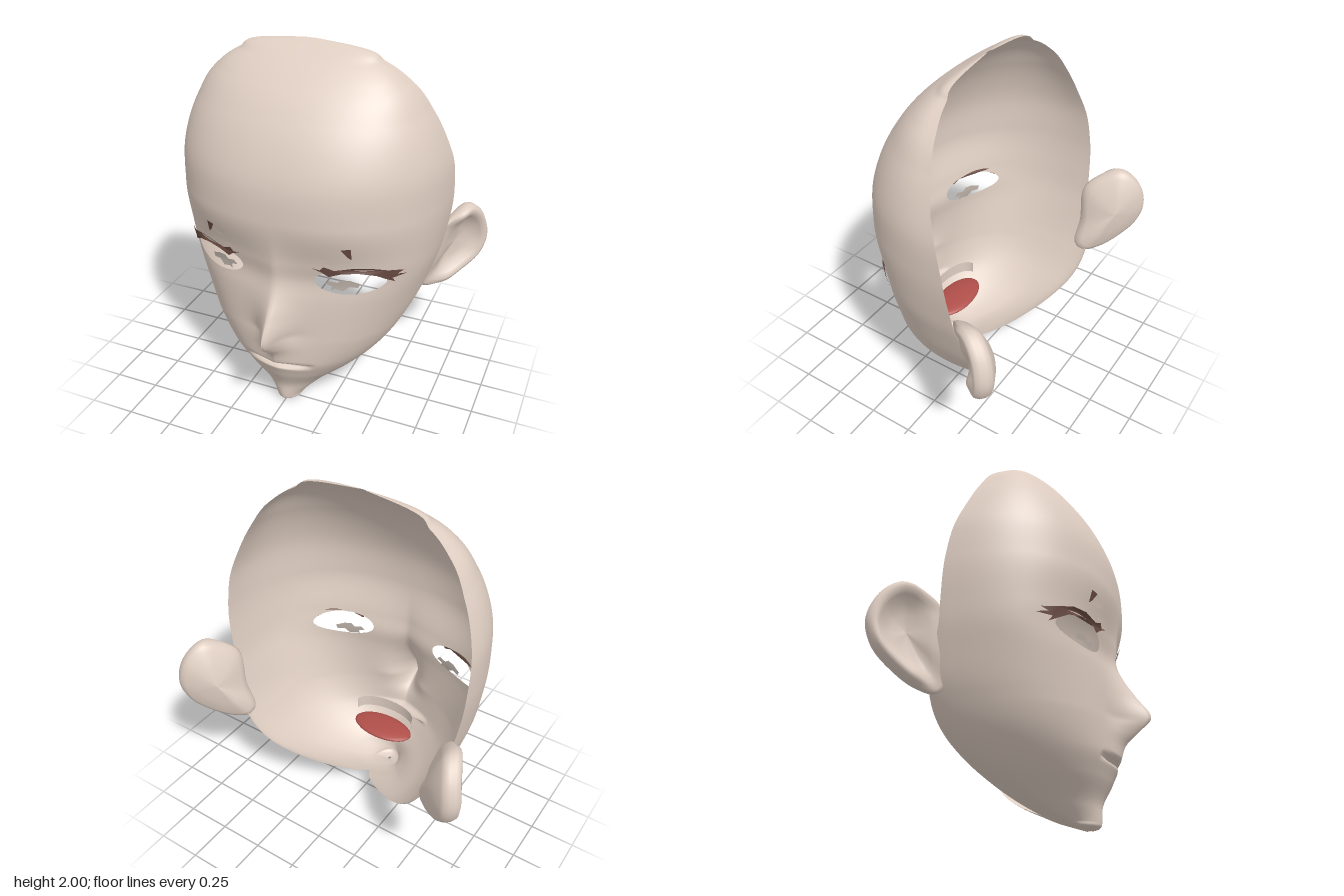
import * as THREE from 'three';

const mat = (name, color) => {
  const m = new THREE.MeshStandardMaterial({ color, side: THREE.DoubleSide });
  m.name = name;
  return m;
};

// Horizontal slices of the face: y, front z, half width, rim z
const FACE = [
  [0, .28, .01, .26], [.01, .315, .05, .235], [.04, .33, .085, .14], [.11, .333, .18, -.01],
  [.24, .385, .36, -.206], [.35, .415, .465, -.31], [.556, .41, .587, -.375], [.76, .39, .66, -.33],
  [.865, .375, .69, -.3], [.97, .395, .71, -.29], [1.21, .466, .735, -.265], [1.365, .458, .73, -.235],
  [1.525, .408, .69, -.185], [1.67, .33, .625, -.145], [1.82, .21, .52, -.1], [1.915, .1, .39, -.067],
  [1.98, -.002, .23, -.046], [2, -.035, .02, -.04],
];
// Nose ridge: y, height
const NOSE = [[0, 0], [.24, .005], [.35, .025], [.425, .056], [.48, .115], [.556, .19], [.67, .13], [.76, .085],
  [.97, .045], [1.21, 0], [2, 0]];

// Smooth interpolation of a table column without overshoot
function sample(table, y, c) {
  const last = table.length - 2;
  const gap = j => table[j + 1][0] - table[j][0];
  const d = j => (table[j + 1][c] - table[j][c]) / gap(j);
  const slope = j => {
    const p = Math.max(0, j - 1), q = Math.min(last, j), a = d(p), b = d(q);
    if (a * b <= 0) return 0;
    const m = (a * gap(q) + b * gap(p)) / (gap(p) + gap(q));
    return Math.sign(m) * Math.min(Math.abs(m), 3 * Math.abs(a), 3 * Math.abs(b));
  };
  let i = 0;
  while (i < last && y > table[i + 1][0]) i++;
  const h = gap(i), t = (y - table[i][0]) / h, s = 1 - t;
  return table[i][c] * s * s * (1 + 2 * t) + slope(i) * h * t * s * s
    + table[i + 1][c] * t * t * (3 - 2 * t) - slope(i + 1) * h * t * t * s;
}
const bell = (v, width) => Math.exp(-Math.pow(v / width, 2));

// Slice at height y: rounded front from the middle to the widest point, then a turn in to the rim;
// under the chin the slices close, higher up they stay open
function slice(y) {
  const w = sample(FACE, y, 2), zr = sample(FACE, y, 3);
  const turn = (.05 + .18 * bell(y - .42, .25)) * Math.min(1, y / .04, (2 - y) / .15);
  return {
    zf: sample(FACE, y, 1), w, zr, zw: zr + turn, xr: w * Math.max(0, 1 - Math.exp(-7 * (y - .09))),
    n: 1.8 + .45 * Math.min(1, y / .5) + .42 * bell(y - .85, .25),
    nose: sample(NOSE, y, 1), wide: .052 + .25 * Math.abs(y - .54),
  };
}
// Nose ridge and the crease between the lips
function relief(x, y, s) {
  const lips = .055 * bell(y - .325, .012) * Math.max(0, 1 - Math.pow(x / .2, 2));
  return s.nose * Math.exp(-Math.pow(Math.abs(x) / s.wide, 1.25)) - lips;
}
function faceZ(x, y) {
  const s = slice(y), u = Math.min(1, Math.abs(x) / s.w);
  return s.zw + (s.zf - s.zw) * Math.pow(1 - Math.pow(u, s.n), 1 / s.n) + relief(x, y, s);
}

function build(pos, index) {
  const g = new THREE.BufferGeometry();
  g.setAttribute('position', new THREE.Float32BufferAttribute(pos, 3));
  g.setIndex(index);
  g.computeVertexNormals();
  return g;
}

const EYE = { x: .37, y: .885, rx: .17, ry: .072 };

// Open-backed head shell with two eye openings
function shellGeometry() {
  const rows = 200, front = 66, back = 10, half = front + back, cols = 2 * half;
  const pos = [], hole = [], index = [];
  for (let r = 0; r <= rows; r++) {
    const y = 1 - Math.cos(Math.PI * r / rows), s = slice(y);
    for (let c = 0; c <= cols; c++) {
      const k = Math.abs(c - half), side = Math.sign(c - half);
      let x, z, py = y, open = false;
      if (k <= front) {
        const t = Math.pow(k / front, 1.25) * Math.PI / 2;
        x = s.w * Math.pow(Math.sin(t), 2 / s.n);
        z = s.zw + (s.zf - s.zw) * Math.pow(Math.max(0, Math.cos(t)), 2 / s.n) + relief(x, y, s);
        // points just inside the eye edge move out onto it
        const ex = (x - EYE.x) / EYE.rx, ey = (y - EYE.y) / EYE.ry, f = Math.hypot(ex, ey);
        open = f < .75;
        if (!open && f < 1) {
          x = EYE.x + ex / f * EYE.rx;
          py = EYE.y + ey / f * EYE.ry;
          z = faceZ(x, py);
        }
      } else {
        const q = (k - front) / back * Math.PI / 2;
        x = s.xr + (s.w - s.xr) * Math.cos(q);
        z = s.zw + (s.zr - s.zw) * Math.sin(q);
      }
      pos.push(x * side, py, z);
      hole.push(open);
    }
  }
  const tri = (...t) => { if (!t.some(i => hole[i])) index.push(...t); };
  for (let r = 0; r < rows; r++) for (let c = 0; c < cols; c++) {
    const a = r * (cols + 1) + c, d = a + cols + 1;
    tri(a, a + 1, d + 1);
    tri(a, d + 1, d);
  }
  return build(pos, index);
}

// Ear: outline scaled towards its middle in rings, with a bowl and a rim that fades into the face
function earGeometry(side) {
  const n = 60;
  const outline = new THREE.CatmullRomCurve3([
    [.68, .93, -.28], [.74, 1.02, -.37], [.79, 1.05, -.46], [.84, .97, -.55], [.865, .83, -.585],
    [.835, .71, -.555], [.75, .615, -.48], [.67, .555, -.4], [.6, .545, -.33], [.59, .58, -.29], [.64, .72, -.29],
  ].map(p => new THREE.Vector3(...p)), true).getPoints(n);
  const mid = new THREE.Vector3(.74, .81, -.43), out = new THREE.Vector3(.75, 0, .66);
  // scale of the ring, height above the ear's plane
  const rings = [[.01, -.02], [.35, -.015], [.58, 0], [.72, .03], [.84, .048], [.94, .04], [1, .015],
    [1, -.015], [.95, -.04], [.85, -.055], [.5, -.085], [.01, -.1]];
  const pos = [], index = [];
  for (const [s, h] of rings) for (let i = 0; i < n; i++) {
    const fade = h > 0 ? THREE.MathUtils.smoothstep(-outline[i].z, .28, .42) : 1;
    const p = mid.clone().lerp(outline[i], s).addScaledVector(out, h * fade);
    pos.push(p.x * side, p.y, p.z);
  }
  for (let r = 0; r < rings.length - 1; r++) for (let i = 0; i < n; i++) {
    const a = r * n + i, b = r * n + (i + 1) % n, c = a + n, d = b + n;
    if (side > 0) index.push(a, c, b, b, c, d);
    else index.push(a, b, c, b, d, c);
  }
  return build(pos, index);
}

// Thin plate following the face
function plateGeometry(points, side, lift) {
  const g = new THREE.ShapeGeometry(new THREE.Shape(points.map(([x, y]) => new THREE.Vector2(x * side, y))));
  const p = g.attributes.position;
  for (let i = 0; i < p.count; i++) p.setZ(i, faceZ(p.getX(i), p.getY(i)) + lift);
  g.computeVertexNormals();
  return g;
}

const LASH = [[.2, .975], [.24, .965], [.26, .988], [.31, .968], [.4, .985], [.48, .98], [.55, .955], [.61, .935],
  [.585, .92], [.62, .905], [.565, .9], [.575, .872], [.54, .9], [.5, .93], [.42, .952], [.34, .947],
  [.28, .925], [.25, .95]];
const IRIS = [[.25, .862], [.27, .88], [.31, .872], [.33, .89], [.37, .888], [.42, .868], [.41, .845], [.37, .85],
  [.34, .825], [.3, .835], [.28, .825], [.285, .85]];
const BROW_TAIL = [[.35, 1.105], [.395, 1.11], [.395, 1.04], [.375, 1.06]];
const BROW_TOP = [[.27, 1.06], [.29, 1.095], [.35, 1.105], [.375, 1.06], [.32, 1.05]];
const BROW_BASE = [[.19, 1.015], [.3, 1.04], [.32, 1.005], [.27, 1]];

export function createModel() {
  const skin = mat('skin', 0xdfcec2), brown = mat('lash brown', 0x6a4c42);
  const grey = mat('iris grey', 0xb9aea5), red = mat('tongue red', 0xb04f4a);
  const model = new THREE.Group();
  model.name = 'head';
  const add = (name, geometry, material) => {
    const m = new THREE.Mesh(geometry, material);
    m.name = name;
    model.add(m);
    return m;
  };

  add('faceShell', shellGeometry(), skin);
  for (const [side, label] of [[1, 'left'], [-1, 'right']]) {
    add(label + 'Ear', earGeometry(side), skin);
    add(label + 'Eyelashes', plateGeometry(LASH, side, .015), brown);
    add(label + 'Iris', plateGeometry(IRIS, side, -.012), grey);
    add(label + 'EyebrowTail', plateGeometry(BROW_TAIL, side, .012), brown);
    add(label + 'EyebrowTop', plateGeometry(BROW_TOP, side, .01), skin);
    add(label + 'EyebrowBase', plateGeometry(BROW_BASE, side, .01), skin);
  }

  // Inside of the mouth
  const tongue = add('tongue', new THREE.SphereGeometry(1, 32, 12), red);
  tongue.scale.set(.19, .025, .1);
  tongue.position.set(0, .34, .18);
  for (const [name, y, radius, height] of [['upperGum', .43, .19, .07], ['lowerGum', .285, .17, .03]]) {
    const gum = add(name, new THREE.CylinderGeometry(radius, radius, height, 24, 1, true, -Math.PI / 2, Math.PI), skin);
    gum.scale.z = .5;
    gum.position.set(0, y, .19);
  }
  return model;
}
